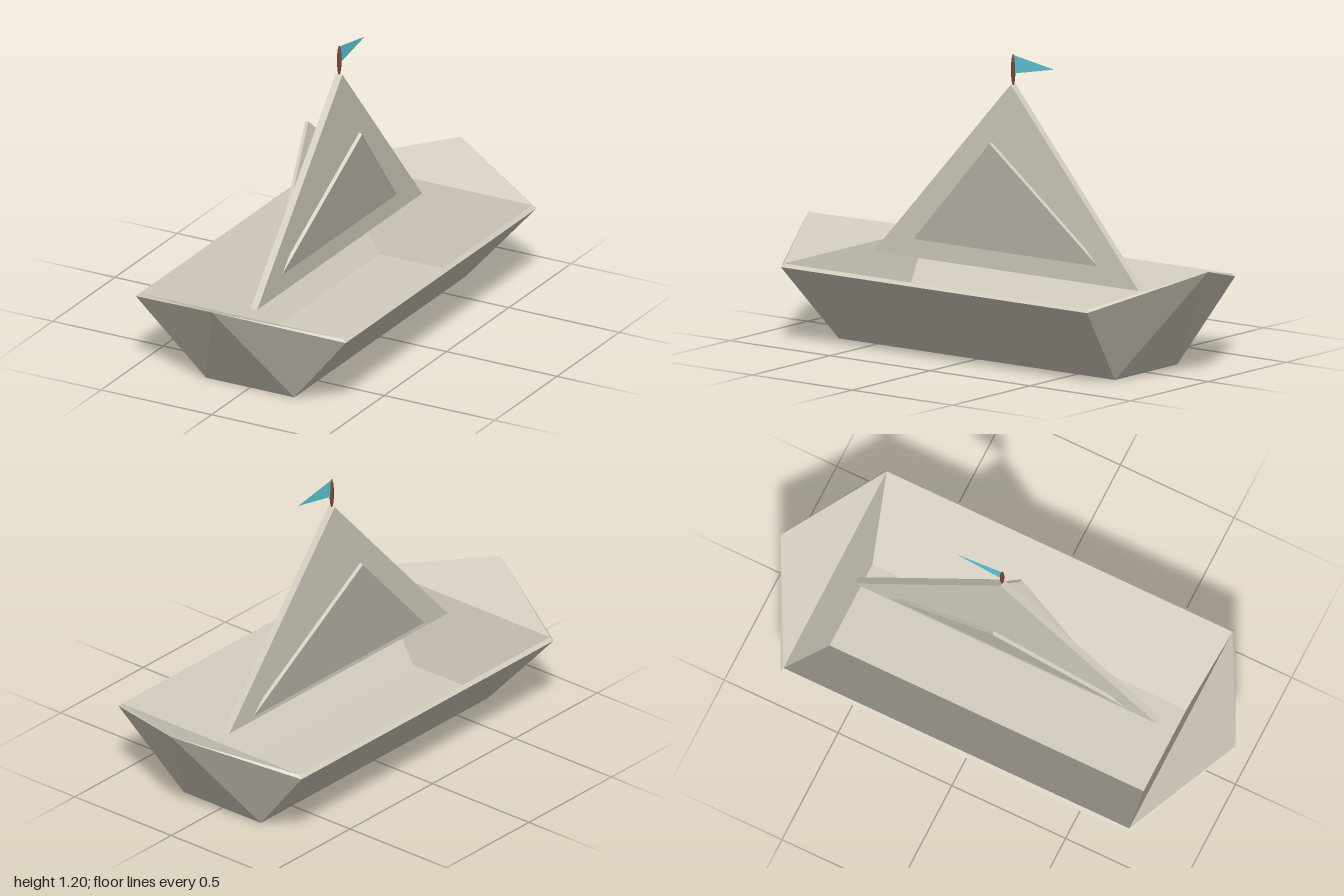
import * as THREE from 'three';

const paper = new THREE.MeshStandardMaterial({ color: 0xd3cdbf });
paper.name = 'paper';
paper.flatShading = true;
const brown = new THREE.MeshStandardMaterial({ color: 0x7a4830 });
brown.name = 'brown';
const cyan = new THREE.MeshStandardMaterial({ color: 0x5cc8d8, side: THREE.DoubleSide });
cyan.name = 'cyan';

function addMesh(parent, name, geometry, material) {
  const mesh = new THREE.Mesh(geometry, material);
  mesh.name = name;
  parent.add(mesh);
  return mesh;
}

// Folded hull: one quarter defined by its corners, mirrored in x and z
function hullGeometry() {
  const keel = [0, 0, 0], keelEnd = [0, 0, 0.69];
  const chine = [0.2, 0, 0], chineEnd = [0.2, 0, 0.69];
  const rim = [0.475, 0.32, 0], rimEnd = [0.475, 0.32, 0.765];
  const lip = [0.46, 0.333, 0], lipEnd = [0.46, 0.333, 0.76];
  const floor = [0, 0.012, 0], floorEnd = [0, 0.012, 0.69];
  const side = [0.19, 0.012, 0], sideEnd = [0.19, 0.012, 0.69];
  const deck = [0, 0.333, 0.76], tip = [0, 0.44, 1];
  const faces = [
    [keel, chine, chineEnd, keelEnd], // bottom
    [chine, rim, rimEnd, chineEnd], // outer side
    [chineEnd, rimEnd, tip], // bow flank
    [keelEnd, chineEnd, tip], // bow centre
    [rim, lip, lipEnd, rimEnd], // top edge
    [rimEnd, lipEnd, tip], // deck edge
    [lipEnd, deck, tip], // end deck
    [lip, side, sideEnd, lipEnd], // inner side
    [floor, floorEnd, sideEnd, side], // floor
    [deck, lipEnd, sideEnd, floorEnd], // inner end
  ];
  const positions = [];
  for (const sx of [1, -1]) for (const sz of [1, -1]) {
    for (const face of faces) {
      const p = face.map(([x, y, z]) => [x * sx, y, z * sz]);
      if (sx * sz < 0) p.reverse();
      for (let i = 1; i < p.length - 1; i++) positions.push(...p[0], ...p[i], ...p[i + 1]);
    }
  }
  const geometry = new THREE.BufferGeometry();
  geometry.setAttribute('position', new THREE.Float32BufferAttribute(positions, 3));
  geometry.computeVertexNormals();
  return geometry;
}

// Flat triangular plate standing in the z-y plane
function sailGeometry(points, thickness) {
  const shape = new THREE.Shape(points.map(([z, y]) => new THREE.Vector2(z, y)));
  const geometry = new THREE.ExtrudeGeometry(shape, { depth: thickness, bevelEnabled: false });
  geometry.translate(0, 0, -thickness / 2);
  geometry.rotateY(-Math.PI / 2);
  return geometry;
}

export function createModel() {
  const boat = new THREE.Group();
  boat.name = 'paperBoat';

  addMesh(boat, 'hull', hullGeometry(), paper);
  addMesh(boat, 'mainSail',
    sailGeometry([[-0.665, 0.325], [0.66, 0.325], [-0.025, 1.077]], 0.03), paper);

  // Two smaller sails leaning outwards from the foot of the main sail
  const leaning = [
    ['leftSail', -0.008, 0.229],
    ['rightSail', -0.005, -0.243],
  ];
  for (const [name, x, slope] of leaning) {
    const height = 0.523 * Math.hypot(1, slope);
    const sail = addMesh(boat, name,
      sailGeometry([[-0.53, 0], [0.53, 0], [0, height]], 0.015), paper);
    sail.position.set(x, 0.332, 0);
    sail.rotation.z = -Math.atan(slope);
  }

  // Spindle-shaped flagpole
  const pole = addMesh(boat, 'flagPole', new THREE.SphereGeometry(1, 12, 10), brown);
  pole.scale.set(0.009, 0.063, 0.009);
  pole.position.set(0, 1.135, -0.026);

  // Pennant trailing towards the back
  const pennant = new THREE.Shape([
    new THREE.Vector2(-0.028, 1.12),
    new THREE.Vector2(-0.028, 1.194),
    new THREE.Vector2(-0.23, 1.16),
  ]);
  const flag = addMesh(boat, 'flag', new THREE.ShapeGeometry(pennant), cyan);
  flag.rotation.y = -Math.PI / 2;

  return boat;
}
